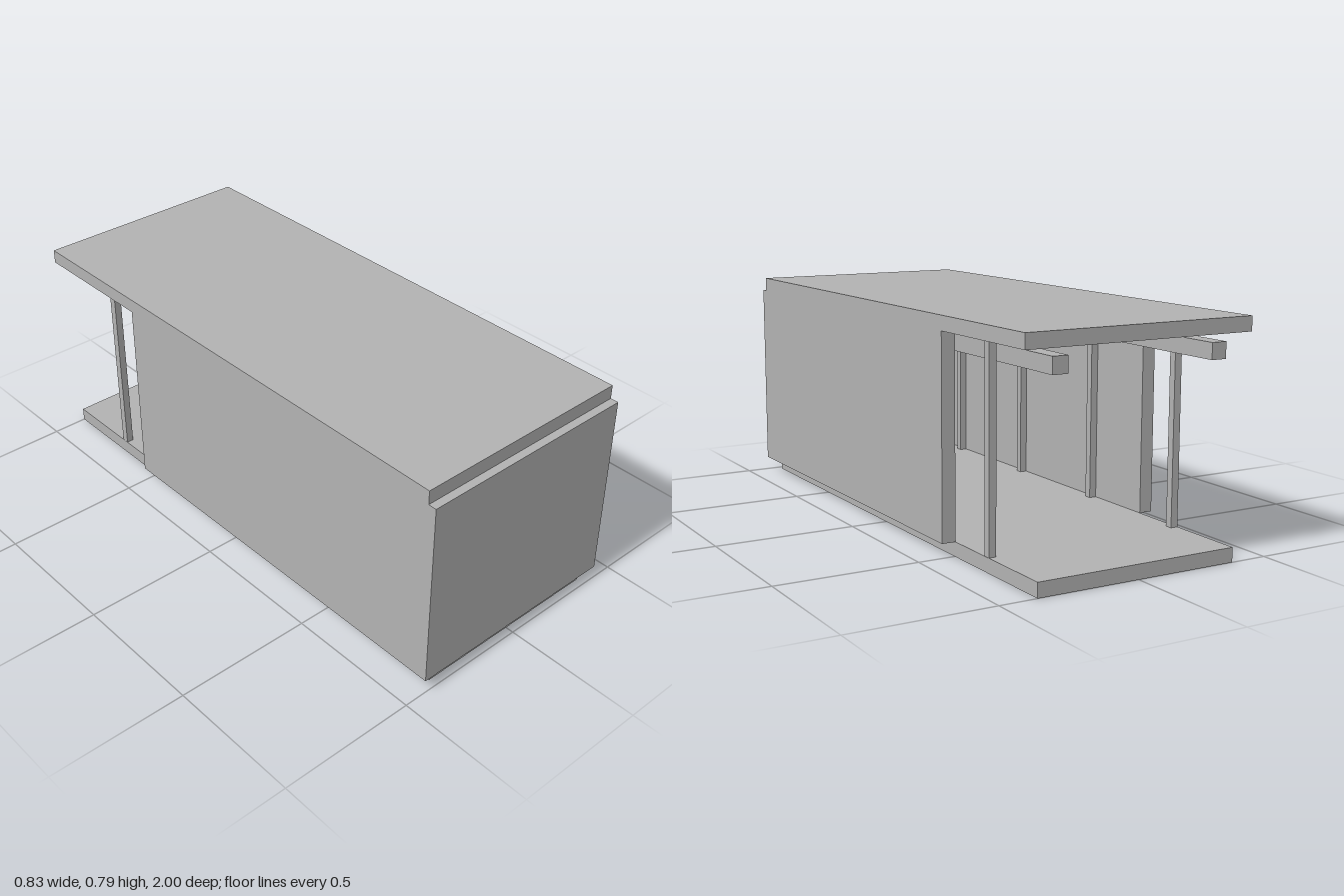
import * as THREE from 'three';

const grey = new THREE.MeshStandardMaterial({ color: 0xb2b2b2 });
grey.name = 'plain grey';

// Box given by its lower and upper corner
function block(name, [x0, y0, z0], [x1, y1, z1]) {
  const geo = new THREE.BoxGeometry(x1 - x0, y1 - y0, z1 - z0);
  geo.translate((x0 + x1) / 2, (y0 + y1) / 2, (z0 + z1) / 2);
  const mesh = new THREE.Mesh(geo, grey);
  mesh.name = name;
  return mesh;
}

export function createModel() {
  const house = new THREE.Group();
  house.name = 'pavilion';

  const floorTop = 0.05, ceiling = 0.74;
  const floorHalf = 0.368, wallHalf = 0.417;

  // Slabs
  house.add(block('floorSlab', [-floorHalf, 0, -1], [floorHalf, floorTop, 0.97]));
  house.add(block('roofSlab', [-wallHalf, ceiling, -1], [wallHalf, 0.79, 0.97]));

  // Front wall, standing slightly proud of both slabs
  house.add(block('frontWall', [-wallHalf, floorTop, 0.95], [wallHalf, ceiling, 1]));

  for (const [side, s] of [['left', 1], ['right', -1]]) {
    // Mirrored box: a is the inner x, b the outer x
    const mirrored = (name, a, b, y0, y1, z0, z1) =>
      house.add(block(side + name, [Math.min(s * a, s * b), y0, z0], [Math.max(s * a, s * b), y1, z1]));

    mirrored('Wall', floorHalf, wallHalf, floorTop, ceiling, -0.505, 0.95);

    // Long beam carried just below the roof
    mirrored('Beam', 0.265, 0.32, 0.66, 0.715, -0.995, 0.95);

    // Row of slim posts along the floor edge
    for (let i = 0; i < 4; i++) {
      const z = -0.703 + i * 0.48;
      mirrored('Post' + (i + 1), 0.341, 0.3675, floorTop, ceiling, z - 0.0135, z + 0.0135);
    }
  }

  // Flat panel under the ceiling of the room
  house.add(block('ceilingPanel', [-0.08, 0.73, -0.07], [0.08, ceiling, 0.53]));

  return house;
}
